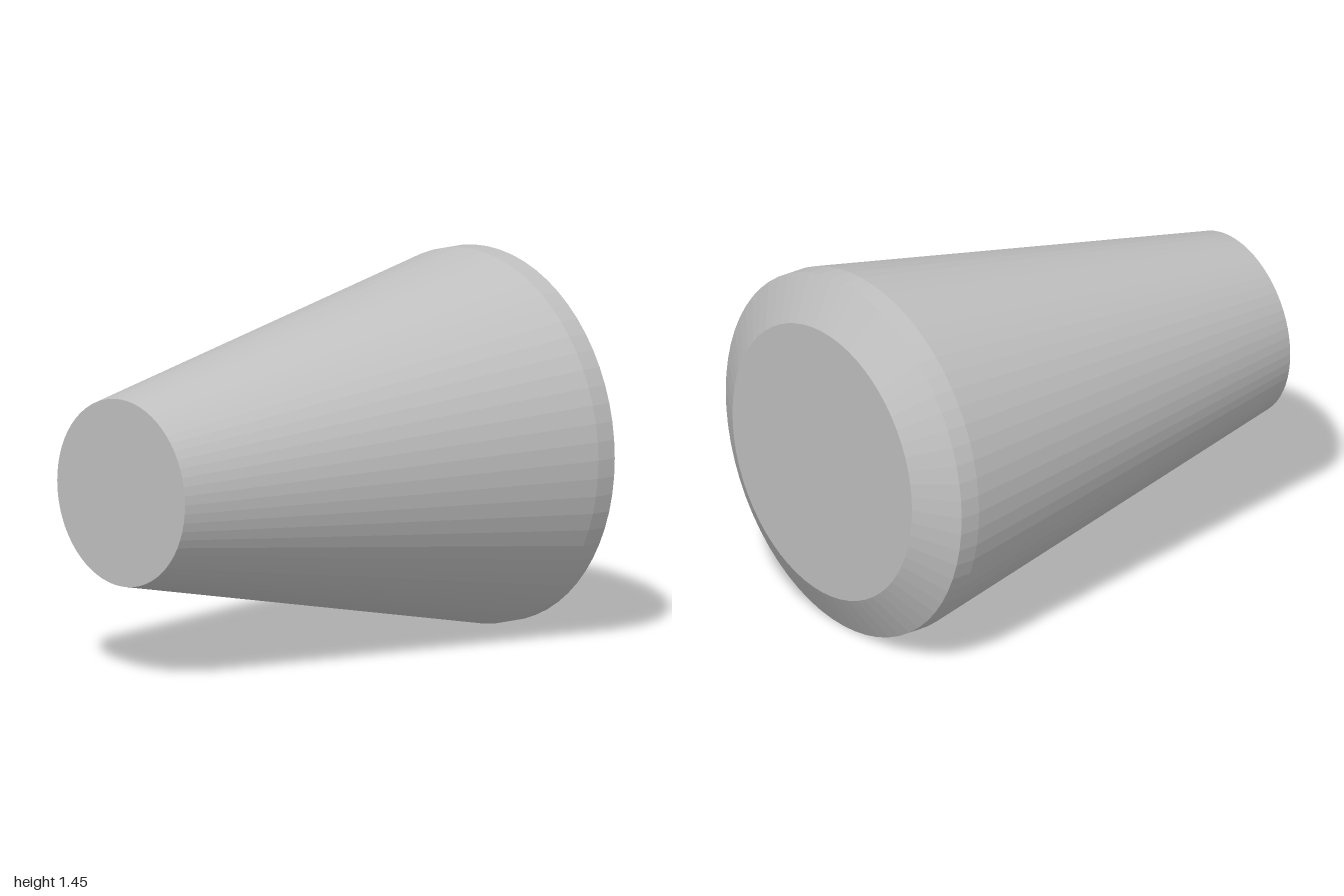
import * as THREE from 'three';

export function createModel() {
  const group = new THREE.Group();
  group.name = 'taperedPlug';

  const grey = new THREE.MeshStandardMaterial({ color: 0xc0c0c0 });
  grey.name = 'grey';
  grey.flatShading = true;

  // Profile as [radius, position along the axis]: narrow end, taper, rim band, chamfer, wide end
  const profile = [
    [0, -1], [0.364, -1], [0.727, 0.81], [0.727, 0.895], [0.553, 1], [0, 1],
  ].map(([r, h]) => new THREE.Vector2(r, h));

  // Turn the solid about y, then lay it along x with the wide end at +x
  const geometry = new THREE.LatheGeometry(profile, 64);
  geometry.rotateZ(-Math.PI / 2);
  geometry.translate(0, 0.727, 0);

  const body = new THREE.Mesh(geometry, grey);
  body.name = 'taperedBody';
  group.add(body);
  return group;
}
